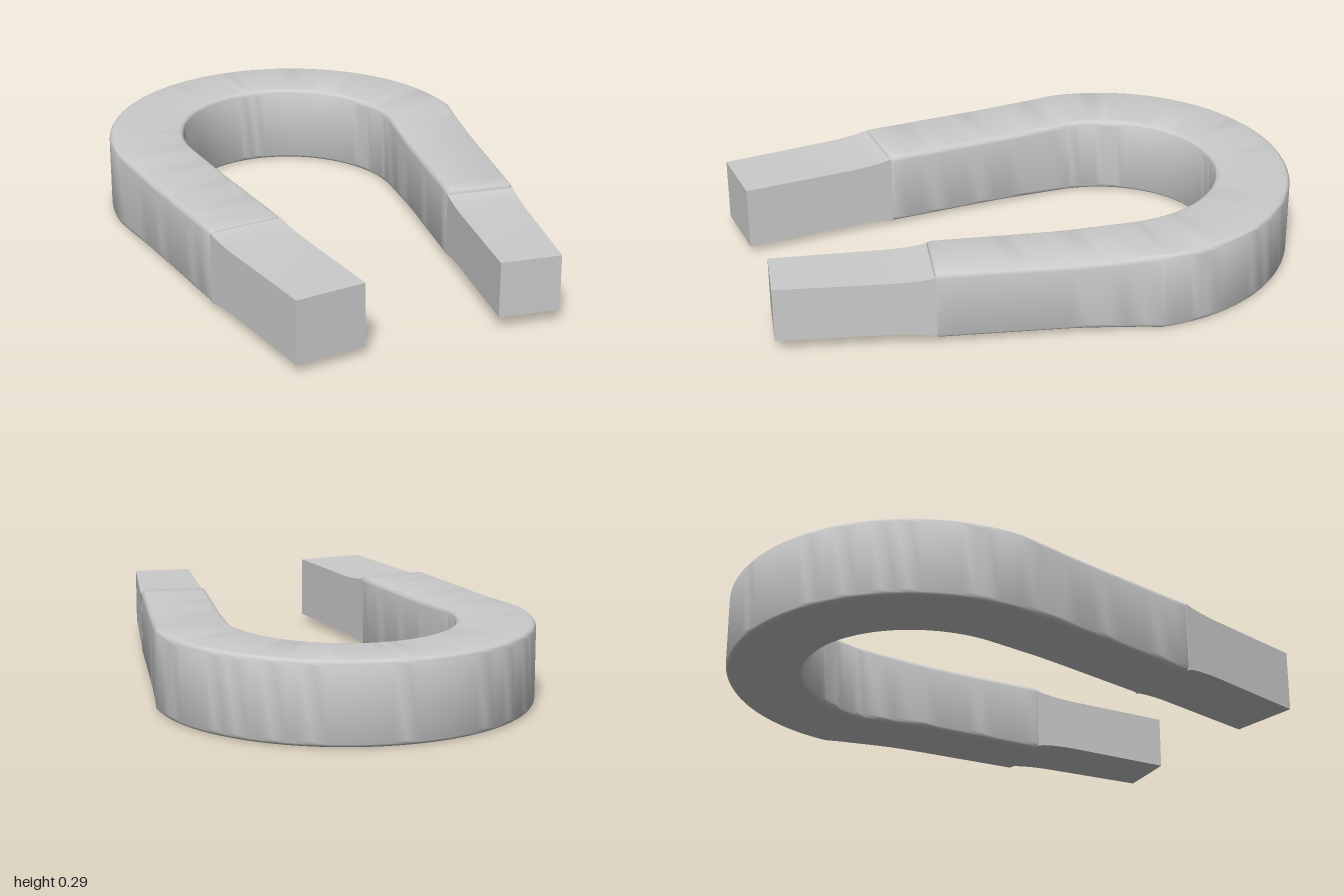
import * as THREE from 'three';
import { toCreasedNormals } from 'three/addons/utils/BufferGeometryUtils.js';

const lerp = (a, b, t) => a + (b - a) * t;
const mix = (a, b, t) => a.map((v, i) => lerp(v, b[i], t));

// Outline of a section: from inner [x, z] to outer [x, z], low to high, corners rounded by r
function ring({ inner, outer, low, high, r = 0, inset = 0 }) {
  const dx = outer[0] - inner[0], dz = outer[1] - inner[1], w = Math.hypot(dx, dz);
  const steps = r > 0 ? 4 : 0, points = [];
  for (let c = 0; c < 4; c++) {
    const right = c === 0 || c === 3, top = c < 2;
    const cu = right ? w - inset - r : inset + r;
    const cv = top ? high - inset - r : low + inset + r;
    for (let k = 0; k <= steps; k++) {
      const a = (c + (steps ? k / steps : 0)) * Math.PI / 2;
      const u = (cu + r * Math.cos(a)) / w;
      points.push(new THREE.Vector3(inner[0] + dx * u, cv + r * Math.sin(a), inner[1] + dz * u));
    }
  }
  return points;
}

// Closed solid through a row of sections
function loft(sections) {
  const rings = sections.map(ring), n = rings[0].length, out = [];
  const tri = (...ps) => ps.forEach(p => out.push(p.x, p.y, p.z));
  const middle = ps => ps.reduce((s, p) => s.add(p), new THREE.Vector3()).divideScalar(n);
  const first = rings[0], last = rings[rings.length - 1];
  const m0 = middle(first), m1 = middle(last);
  for (let j = 0; j < n; j++) {
    const k = (j + 1) % n;
    for (let i = 0; i < rings.length - 1; i++) {
      const a = rings[i], b = rings[i + 1];
      tri(a[j], a[k], b[k]);
      tri(a[j], b[k], b[j]);
    }
    tri(m0, first[k], first[j]);
    tri(m1, last[j], last[k]);
  }
  const geometry = new THREE.BufferGeometry();
  geometry.setAttribute('position', new THREE.Float32BufferAttribute(out, 3));
  return toCreasedNormals(geometry, 0.6);
}

// The two legs differ slightly in width and height
const LEGS = {
  right: {
    start: { inner: [-0.4, -0.3], outer: [-0.675, -0.325] },
    end: { inner: [-0.318, 0.415], outer: [-0.585, 0.452] },
    tip: { inner: [-0.242, 0.965], outer: [-0.495, 1] },
    body: [0.01, 0.283], pole: [0.03, 0.26],
  },
  left: {
    start: { inner: [0.4, -0.3], outer: [0.672, -0.325] },
    end: { inner: [0.308, 0.427], outer: [0.55, 0.455] },
    tip: { inner: [0.24, 0.97], outer: [0.455, 0.993] },
    body: [0.018, 0.275], pole: [0.045, 0.245],
  },
};
const FULL = [0, 0.29], ROUND = 0.02;

// Leg sections from the bend down to the shoulder, with a softened end edge
function legSections({ start, end, body }) {
  const at = (t, inset = 0) => {
    const [low, high] = mix(FULL, body, THREE.MathUtils.smoothstep(t, -0.1, 0.45));
    return {
      inner: mix(start.inner, end.inner, t), outer: mix(start.outer, end.outer, t),
      low, high, r: ROUND - inset, inset,
    };
  };
  const list = [];
  for (let i = 1; i <= 12; i++) list.push(at(i / 12 * 0.985));
  list.push(at(0.995, 0.003), at(1, 0.01));
  return list;
}

// Pole sections from the shoulder to the flat tip, with a small flare at the root
function poleSections({ end, tip, pole }) {
  return [[-0.01, 0.016], [0.03, 0.01], [0.1, 0.005], [0.2, 0.001], [0.28, 0], [1, 0]].map(([t, flare]) => ({
    inner: mix(end.inner, tip.inner, t), outer: mix(end.outer, tip.outer, t),
    low: pole[0] - flare, high: pole[1] + flare,
  }));
}

export function createModel() {
  const group = new THREE.Group();
  const material = new THREE.MeshStandardMaterial({ color: 0xcccccc });
  const add = (name, sections) => {
    const mesh = new THREE.Mesh(loft(sections), material);
    mesh.name = name;
    group.add(mesh);
  };

  // Horseshoe body: right leg, bend, left leg
  const bend = [];
  for (let i = 0; i <= 48; i++) {
    const a = Math.PI * (1 - i / 48), c = Math.cos(a), s = Math.sin(a);
    bend.push({
      inner: [0.4 * c, -0.3 - 0.43 * s], outer: [0.674 * c, -0.325 - 0.675 * s],
      low: FULL[0], high: FULL[1], r: ROUND,
    });
  }
  add('horseshoeBody', [...legSections(LEGS.right).reverse(), ...bend, ...legSections(LEGS.left)]);

  // Bare poles
  add('rightPole', poleSections(LEGS.right).reverse());
  add('leftPole', poleSections(LEGS.left));
  return group;
}
